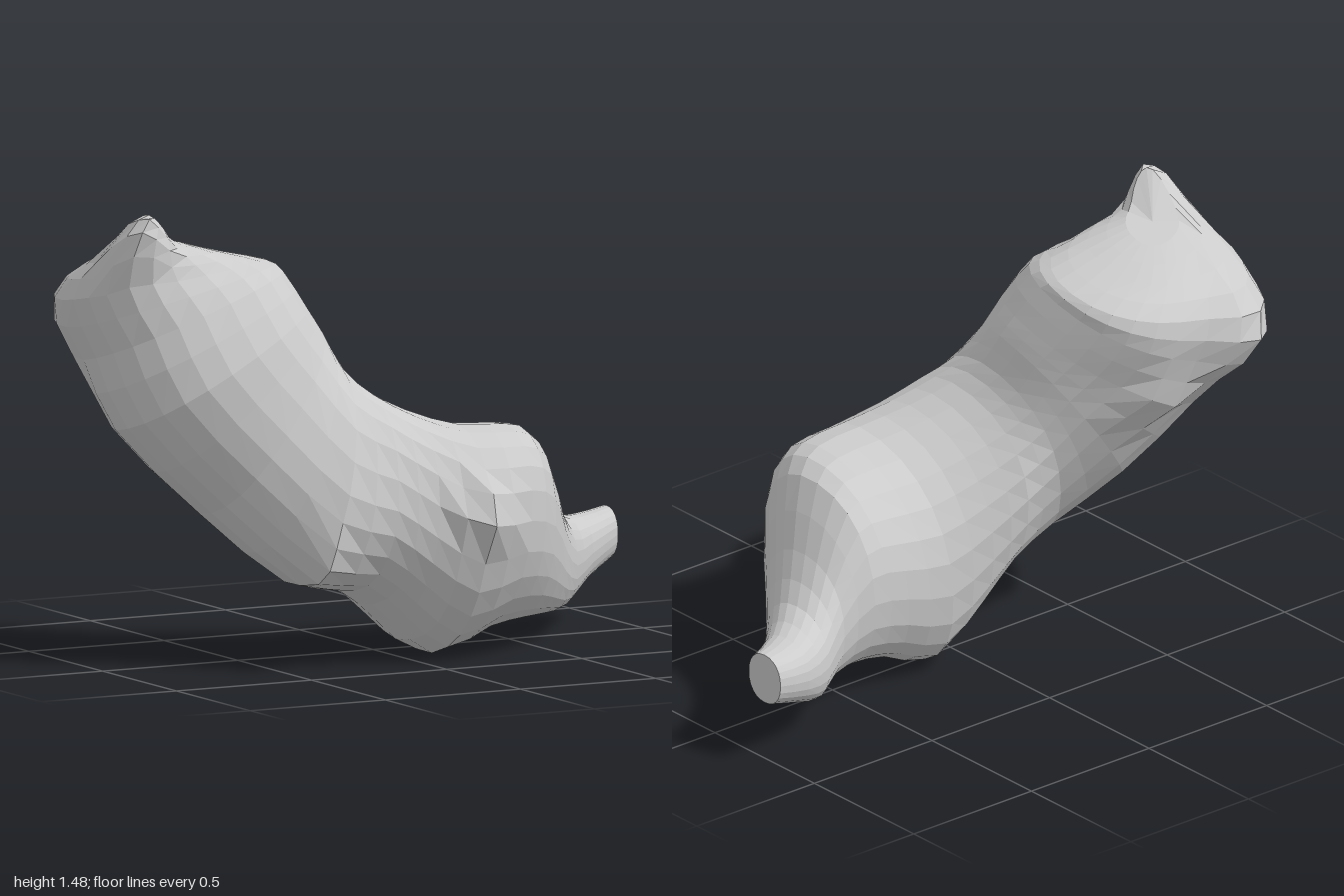
import * as THREE from 'three';

// Cross-sections from the narrow tail to the raised end:
// lower edge xyz, upper edge xyz, half-depth vector (y, z)
const sections = [
  [1.0, 0.2, -0.25, 1.0, 0.37, -0.25, 0, 0.08],
  [0.85, 0.14, -0.18, 0.85, 0.36, -0.18, 0, 0.12],
  [0.72, 0.08, -0.09, 0.71, 0.39, -0.07, 0, 0.16],
  [0.6, 0.08, 0.02, 0.6, 0.51, 0.02, 0.01, 0.2],
  [0.46, 0.08, 0.1, 0.48, 0.7, 0.1, 0.03, 0.28],
  [0.3, 0.06, 0.15, 0.36, 0.74, 0.14, 0.06, 0.33],
  [0.13, 0.0, 0.16, 0.18, 0.75, 0.14, 0.07, 0.35],
  [-0.03, 0.12, 0.17, 0.02, 0.8, 0.08, 0.07, 0.34],
  [-0.18, 0.23, 0.2, -0.1, 0.87, 0.01, 0.07, 0.33],
  [-0.41, 0.28, 0.24, -0.16, 0.95, -0.06, 0.07, 0.31],
  [-0.63, 0.5, 0.06, -0.19, 1.05, -0.11, 0.08, 0.3],
  [-0.88, 0.78, -0.05, -0.22, 1.12, -0.15, 0.08, 0.33],
  [-0.93, 1.0, -0.17, -0.27, 1.23, -0.22, 0.08, 0.33],
  [-0.99, 1.19, -0.22, -0.3, 1.27, -0.26, 0.05, 0.29],
  [-0.93, 1.31, -0.18, -0.46, 1.31, -0.24, 0.03, 0.22],
  [-0.83, 1.38, -0.12, -0.62, 1.35, -0.2, 0.02, 0.1],
];

// Local knobs and corners: centre, offset, radius
const pulls = [
  [[0.16, 0.48, 0.51], [0, 0.02, 0.06], 0.14],
  [[-0.86, 1.36, -0.06], [0, 0.11, 0.06], 0.15],
  [[-0.82, 1.08, -0.45], [0, 0, -0.12], 0.24],
  [[-0.5, 0.88, -0.44], [0, 0, -0.06], 0.16],
  [[-0.42, 0.32, 0.36], [0, -0.02, 0.05], 0.18],
];

function pull(p) {
  const q = p.clone();
  for (const [centre, offset, radius] of pulls) {
    const f = 1 - p.distanceTo(new THREE.Vector3(...centre)) / radius;
    if (f > 0) q.addScaledVector(new THREE.Vector3(...offset), Math.min(1, f * 1.3));
  }
  q.y = Math.max(0, q.y);
  return q;
}

const soften = (v) => Math.sign(v) * Math.abs(v) ** 0.9;

function loft(radial, rings) {
  // Smooth curves carry the edges and the depth along the body
  const rail = (pick) => new THREE.CatmullRomCurve3(
    sections.map((s) => new THREE.Vector3(...pick(s))), false, 'catmullrom', 0.5);
  const lower = rail((s) => s.slice(0, 3));
  const upper = rail((s) => s.slice(3, 6));
  const depth = rail((s) => [0, s[6], s[7]]);
  const pos = [], index = [];

  for (let i = 0; i <= rings; i++) {
    const t = i / rings;
    const lo = lower.getPoint(t), up = upper.getPoint(t), d = depth.getPoint(t);
    const centre = lo.clone().add(up).multiplyScalar(0.5);
    const half = up.clone().sub(lo).multiplyScalar(0.5);
    for (let j = 0; j < radial; j++) {
      const a = (j / radial) * Math.PI * 2;
      const p = centre.clone()
        .addScaledVector(half, soften(Math.cos(a)))
        .addScaledVector(d, soften(Math.sin(a)));
      pos.push(...pull(p).toArray());
      if (i < rings) {
        const k = i * radial + j, n = i * radial + (j + 1) % radial;
        index.push(k, k + radial, n, n, k + radial, n + radial);
      }
    }
  }

  // End caps
  for (const [ring, flip] of [[0, false], [rings, true]]) {
    const t = ring / rings, c = pos.length / 3;
    pos.push(...lower.getPoint(t).add(upper.getPoint(t)).multiplyScalar(0.5).toArray());
    for (let j = 0; j < radial; j++) {
      const a = ring * radial + j, b = ring * radial + (j + 1) % radial;
      index.push(c, flip ? b : a, flip ? a : b);
    }
  }

  const g = new THREE.BufferGeometry();
  g.setAttribute('position', new THREE.Float32BufferAttribute(pos, 3));
  g.setIndex(index);
  g.computeVertexNormals();
  return g;
}

export function createModel() {
  const group = new THREE.Group();
  group.name = 'organicForm';
  const material = new THREE.MeshStandardMaterial({ color: 0xcccccc, flatShading: true });
  const body = new THREE.Mesh(loft(24, (sections.length - 1) * 2), material);
  body.name = 'body';
  group.add(body);
  return group;
}
